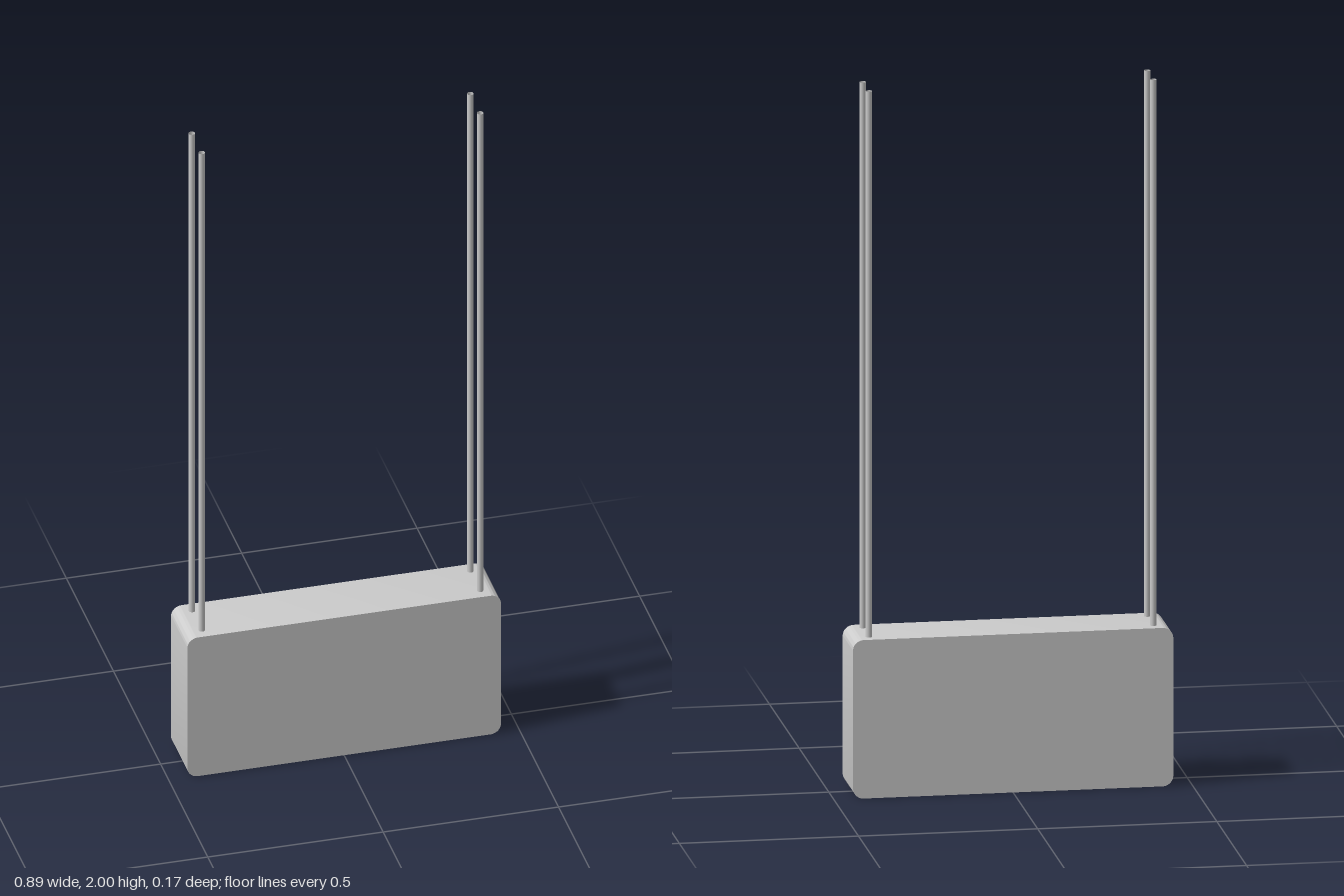
import * as THREE from 'three';
import { toCreasedNormals } from 'three/addons/utils/BufferGeometryUtils.js';

const WIDTH = 0.894, HEIGHT = 0.45, DEPTH = 0.174, CORNER = 0.03;
const ROD_X = 0.397, ROD_Z = 0.052, ROD_RADIUS = 0.009, TOP = 2;

// Rectangle with rounded corners, standing on y = 0
function roundedRectangle(w, h, r) {
  const s = new THREE.Shape();
  s.absarc(w / 2 - r, r, r, -Math.PI / 2, 0);
  s.absarc(w / 2 - r, h - r, r, 0, Math.PI / 2);
  s.absarc(-w / 2 + r, h - r, r, Math.PI / 2, Math.PI);
  s.absarc(-w / 2 + r, r, r, Math.PI, Math.PI * 1.5);
  s.closePath();
  return s;
}

export function createModel() {
  const model = new THREE.Group();
  model.name = 'hangingBlock';
  const grey = new THREE.MeshStandardMaterial({ color: 0xcccccc });
  const greyOpen = new THREE.MeshStandardMaterial({ color: 0xcccccc, side: THREE.DoubleSide });

  // Block: rounded in profile, flat front and back
  const blockGeometry = new THREE.ExtrudeGeometry(roundedRectangle(WIDTH, HEIGHT, CORNER), {
    depth: DEPTH, bevelEnabled: false, curveSegments: 8,
  });
  blockGeometry.translate(0, 0, -DEPTH / 2);
  const block = new THREE.Mesh(toCreasedNormals(blockGeometry, 0.5), grey);
  block.name = 'block';
  model.add(block);

  // Four thin open rods rising from the top near the corners
  const length = TOP - HEIGHT;
  const rodGeometry = new THREE.CylinderGeometry(ROD_RADIUS, ROD_RADIUS, length, 16, 1, true);
  for (const x of [-1, 1]) {
    for (const z of [-1, 1]) {
      const rod = new THREE.Mesh(rodGeometry, greyOpen);
      rod.name = (z > 0 ? 'front' : 'back') + (x > 0 ? 'Left' : 'Right') + 'Rod';
      rod.position.set(x * ROD_X, HEIGHT + length / 2, z * ROD_Z);
      model.add(rod);
    }
  }
  return model;
}
